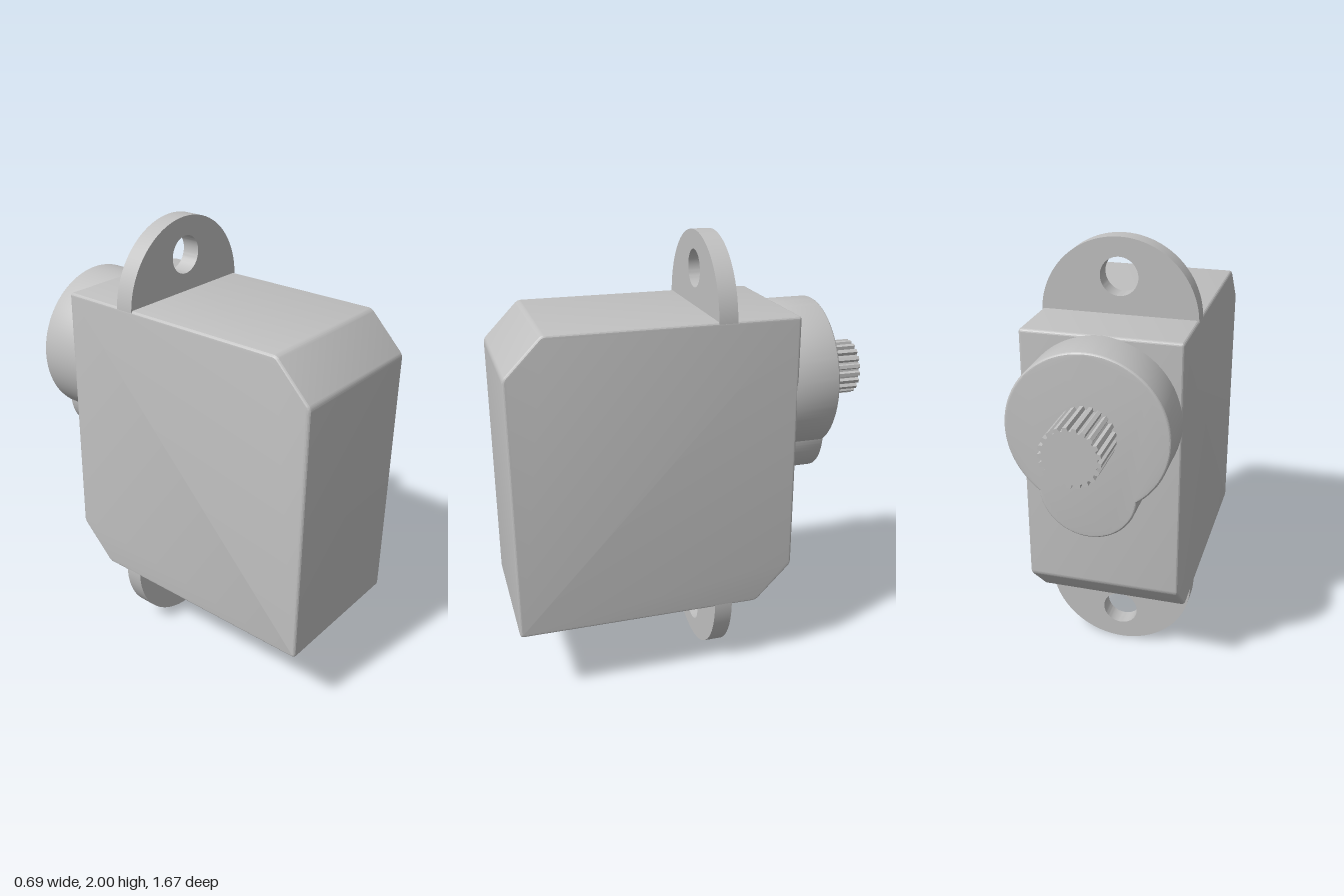
import * as THREE from 'three';
import { toCreasedNormals } from 'three/addons/utils/BufferGeometryUtils.js';

const HALF = 0.345;     // half width of the housing
const AXIS_Y = 1.327;   // height of the output shaft

// Extrude from z0 to z1 with an inward edge rounding, smooth only along curves
function extrude(shape, z0, z1, bevel = 0, curveSegments = 32) {
  const geo = new THREE.ExtrudeGeometry(shape, {
    depth: z1 - z0 - 2 * bevel,
    bevelEnabled: bevel > 0,
    bevelSize: bevel,
    bevelThickness: bevel,
    bevelOffset: -bevel,
    bevelSegments: 4,
    curveSegments,
  });
  geo.translate(0, 0, z0 + bevel);
  return toCreasedNormals(geo, 0.22);
}

// Polygon with small rounded corners
function roundedPolygon(points, r) {
  const pts = points.map(([x, y]) => new THREE.Vector2(x, y));
  const shape = new THREE.Shape();
  pts.forEach((p, i) => {
    const prev = pts[(i + pts.length - 1) % pts.length];
    const next = pts[(i + 1) % pts.length];
    const a = p.clone().add(prev.clone().sub(p).setLength(r));
    const b = p.clone().add(next.clone().sub(p).setLength(r));
    if (i === 0) shape.moveTo(a.x, a.y);
    else shape.lineTo(a.x, a.y);
    shape.quadraticCurveTo(p.x, p.y, b.x, b.y);
  });
  shape.closePath();
  return shape;
}

export function createModel() {
  const model = new THREE.Group();
  model.name = 'servoMotor';
  const grey = new THREE.MeshStandardMaterial({ color: 0xc0c0c0 });
  grey.name = 'lightGrey';

  const add = (name, geo) => {
    const mesh = new THREE.Mesh(geo, grey);
    mesh.name = name;
    model.add(mesh);
  };

  // Housing: side profile (horizontal axis is -z) with two chamfered corners
  const profile = roundedPolygon([
    [-0.835, 0.332], [0.262, 0.332], [0.43, 0.5],
    [0.43, 1.672], [-0.672, 1.672], [-0.835, 1.505],
  ], 0.018);
  add('housing', extrude(profile, -HALF, HALF, 0.015, 6).rotateY(Math.PI / 2));

  // Mounting plate: stadium outline running through the housing, one hole per ear
  const r = HALF - 0.001;
  const plate = new THREE.Shape();
  plate.absarc(0, 2 - r, r, 0, Math.PI, false);
  plate.absarc(0, r, r, Math.PI, Math.PI * 2, false);
  plate.closePath();
  for (const y of [0.166, 1.834]) {
    const hole = new THREE.Path();
    hole.absarc(0, y, 0.083, 0, Math.PI * 2, true);
    plate.holes.push(hole);
  }
  add('mountingPlate', extrude(plate, -0.142, -0.06));

  // Gear cover: large disc merged with a smaller one below it
  const smallY = 1.07, smallR = 0.209;
  const d = AXIS_Y - smallY;
  const k = (HALF * HALF - smallR * smallR + d * d) / (2 * d); // drop to the crossing points
  const big = Math.asin(k / HALF);
  const small = Math.asin((d - k) / smallR);
  const cover = new THREE.Shape();
  cover.absarc(0, AXIS_Y, HALF, -big, Math.PI + big, false);
  cover.absarc(0, smallY, smallR, Math.PI - small, Math.PI * 2 + small, false);
  add('gearCover', extrude(cover, -0.627, -0.412, 0.012, 48));

  // Splined output shaft: ring of trapezoid teeth
  const teeth = 21;
  const spline = [];
  for (let i = 0; i < teeth; i++) {
    [[0, 0.112], [0.25, 0.112], [0.42, 0.127], [0.83, 0.127]].forEach(([t, rad]) => {
      const a = ((i + t) / teeth) * Math.PI * 2 + Math.PI / 2;
      spline.push(new THREE.Vector2(Math.cos(a) * rad, AXIS_Y + Math.sin(a) * rad));
    });
  }
  add('outputShaft', extrude(new THREE.Shape(spline), -0.835, -0.6));

  return model;
}
